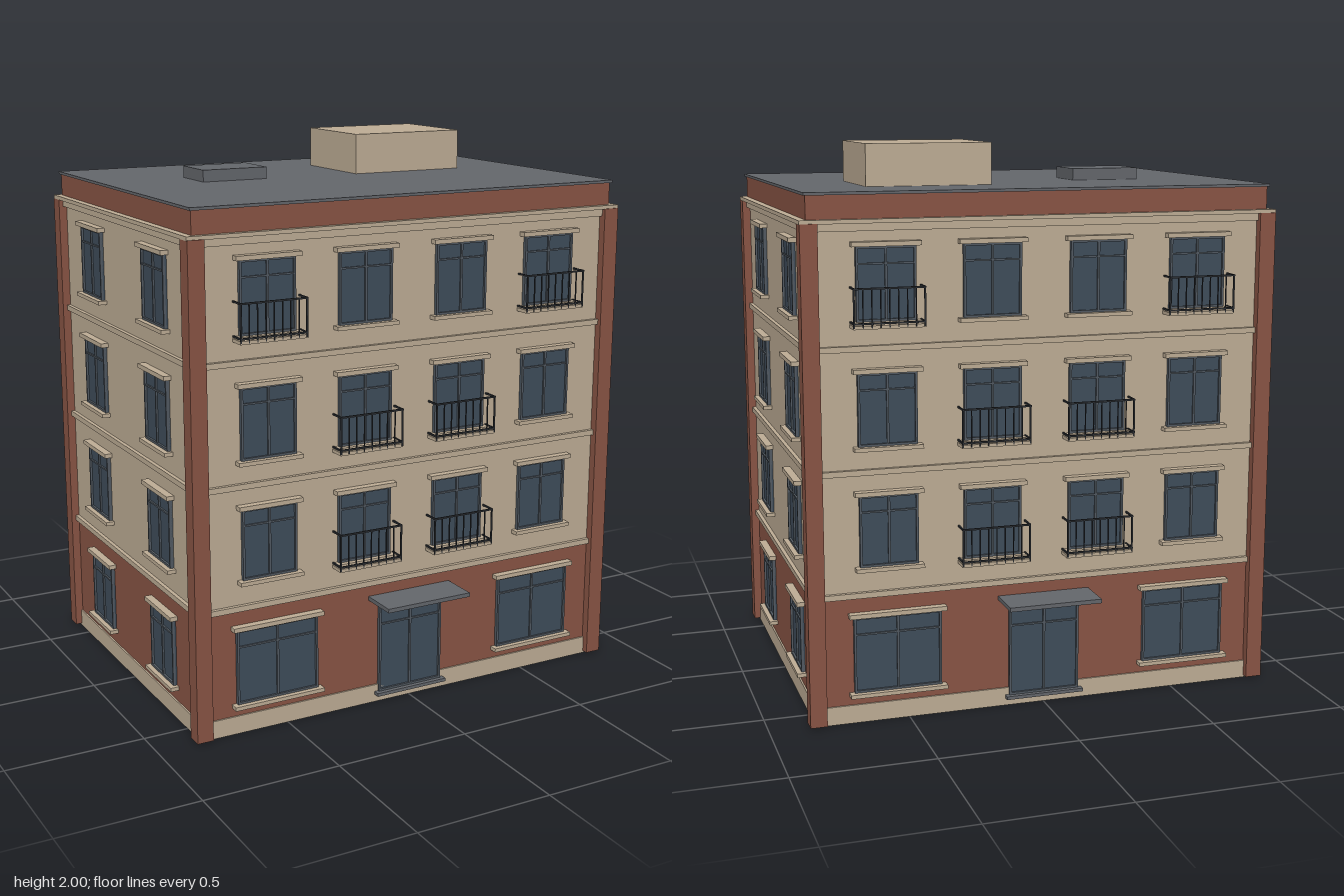
import * as THREE from 'three';

const mat = (name, color) => {
  const m = new THREE.MeshStandardMaterial({ color });
  m.name = name;
  return m;
};

export function createModel() {
  const stone = mat('tan stone', 0xbfae96);
  const brick = mat('red brick', 0x8a5545);
  const roofGrey = mat('roof grey', 0x64676c);
  const glass = mat('blue grey glass', 0x3f4d5b);
  const frame = mat('window frame grey', 0x525a62);
  const iron = mat('dark iron', 0x2c2f33);

  const W = 0.83, D = 0.615; // half width and half depth of the walls
  const model = new THREE.Group();
  model.name = 'apartmentBuilding';

  // Box given by its limits on each axis
  const box = (parent, name, m, x0, x1, y0, y1, z0, z1) => {
    const mesh = new THREE.Mesh(new THREE.BoxGeometry(x1 - x0, y1 - y0, z1 - z0), m);
    mesh.position.set((x0 + x1) / 2, (y0 + y1) / 2, (z0 + z1) / 2);
    mesh.name = name;
    parent.add(mesh);
    return mesh;
  };
  // Storey-wide block centred on the building
  const slab = (name, m, w, d, y0, y1) => box(model, name, m, -w, w, y0, y1, -d, d);

  // Walls
  slab('plinth', stone, W + 0.006, D + 0.006, 0, 0.066);
  slab('groundFloorWall', brick, W, D, 0.066, 0.456);
  slab('upperWall', stone, W, D, 0.456, 1.74);
  for (const y of [0.465, 0.9, 1.327]) slab('floorBand', stone, W + 0.014, D + 0.014, y - 0.01, y + 0.01);
  slab('cornice', stone, W + 0.014, D + 0.014, 1.722, 1.748);
  slab('corniceCap', stone, W + 0.031, D + 0.026, 1.748, 1.762);
  slab('parapet', brick, W + 0.005, D + 0.005, 1.762, 1.842);
  slab('roof', roofGrey, W + 0.012, D + 0.012, 1.842, 1.852);

  // Brick corner piers
  for (const sx of [-1, 1]) for (const sz of [-1, 1]) {
    const pier = box(model, 'cornerPier', brick, -0.03, 0.03, 0.008, 1.75, -0.03, 0.03);
    pier.position.x = sx * W;
    pier.position.z = sz * D;
  }

  // Roof structures
  box(model, 'stairHouse', stone, 0.12, 0.575, 1.852, 2, -0.375, -0.005);
  box(model, 'roofHatch', roofGrey, -0.505, -0.25, 1.852, 1.895, -0.2, -0.02);

  // Glazing with frame, mullion and transom; wall plane is z = 0
  const glazing = (parent, x, y0, y1, w, transom) => {
    const h = w / 2, t = 0.008;
    box(parent, 'pane', glass, x - h, x + h, y0, y1, -0.01, 0.006);
    for (const s of [-1, 1]) {
      const e = x + s * (h - t / 2);
      box(parent, 'frameSide', frame, e - t / 2, e + t / 2, y0, y1, 0, 0.014);
    }
    box(parent, 'frameTop', frame, x - h, x + h, y1 - t, y1, 0, 0.014);
    box(parent, 'frameBottom', frame, x - h, x + h, y0, y0 + t, 0, 0.014);
    box(parent, 'mullion', frame, x - 0.004, x + 0.004, y0, y1, 0, 0.012);
    box(parent, 'transom', frame, x - h, x + h, transom - 0.003, transom + 0.003, 0, 0.012);
  };

  const windowUnit = (parent, x, y0, y1, w) => {
    const g = new THREE.Group();
    g.name = 'window';
    parent.add(g);
    glazing(g, x, y0, y1, w, y0 + (y1 - y0) * 0.77);
    const h = w / 2 + 0.017;
    box(g, 'lintel', stone, x - h, x + h, y1, y1 + 0.016, -0.01, 0.028);
    box(g, 'sill', stone, x - h, x + h, y0 - 0.014, y0, -0.01, 0.032);
  };

  // Shallow balcony with slab, rails and balusters
  const balcony = (parent, x, y) => {
    const g = new THREE.Group();
    g.name = 'balcony';
    parent.add(g);
    const h = 0.125, out = 0.061, t = 0.006, top = y + 0.135;
    box(g, 'balconySlab', stone, x - h, x + h, y - 0.004, y + 0.008, 0, out - 0.002);
    for (const ry of [y + 0.012, top - t]) {
      box(g, 'frontRail', iron, x - h, x + h, ry, ry + t, out - t, out);
      for (const s of [-1, 1]) {
        const e = x + s * (h - t / 2);
        box(g, 'sideRail', iron, e - t / 2, e + t / 2, ry, ry + t, 0, out - t);
      }
    }
    const n = 8;
    for (let i = 0; i <= n; i++) {
      const bx = x - h + t / 2 + ((2 * h - t) * i) / n;
      const r = i % n === 0 ? 0.003 : 0.0018;
      box(g, 'baluster', iron, bx - r, bx + r, y, top, out - 0.005, out - 0.001);
    }
  };

  const rows = [0.565, 0.99, 1.418];
  const columns = [-0.567, -0.193, 0.193, 0.567];

  // Matching front and back facades
  for (const side of [0, 1]) {
    const f = new THREE.Group();
    f.name = side ? 'backFacade' : 'frontFacade';
    f.rotation.y = side * Math.PI;
    f.position.z = side ? -D : D;
    model.add(f);
    rows.forEach((y, r) => columns.forEach((x, c) => {
      windowUnit(f, x, y, y + 0.253, 0.208);
      const outer = c === 0 || c === 3;
      if (outer === (r === 2)) balcony(f, x, y - 0.015);
    }));
    for (const x of [-0.54, 0.54]) windowUnit(f, x, 0.112, 0.386, 0.315);
    // Entrance
    glazing(f, 0, 0.04, 0.392, 0.262, 0.3);
    box(f, 'doorStep', roofGrey, -0.145, 0.145, 0.028, 0.04, 0, 0.03);
    box(f, 'canopy', roofGrey, -0.17, 0.17, 0.397, 0.412, -0.01, 0.143);
  }

  // Matching side facades
  for (const s of [-1, 1]) {
    const f = new THREE.Group();
    f.name = s > 0 ? 'leftFacade' : 'rightFacade';
    f.rotation.y = (s * Math.PI) / 2;
    f.position.x = s * W;
    model.add(f);
    for (const x of [-0.298, 0.298]) {
      for (const y of rows) windowUnit(f, x, y, y + 0.253, 0.2);
      windowUnit(f, x, 0.125, 0.375, 0.205);
    }
  }
  return model;
}
